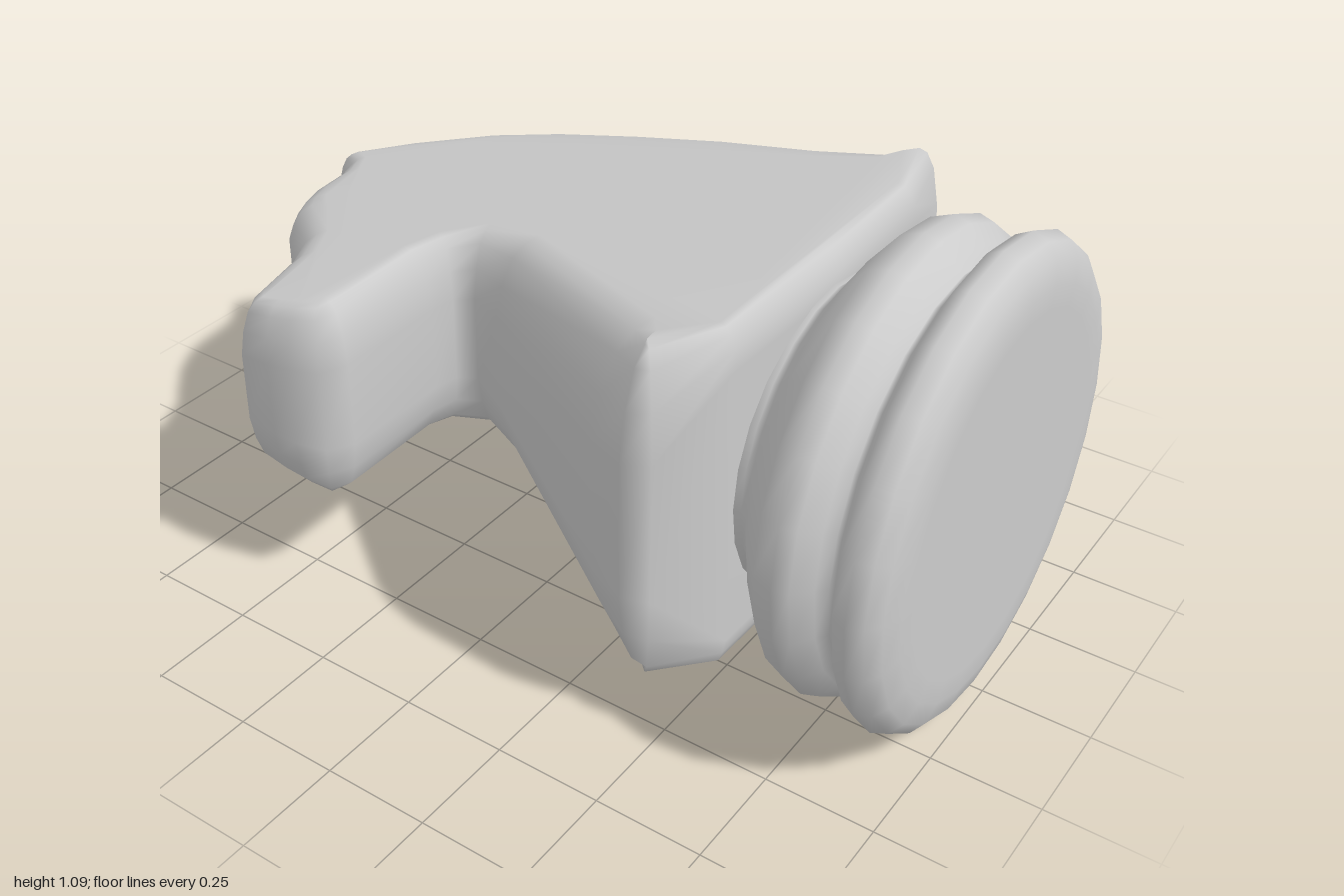
import * as THREE from 'three';

const MID = 0.545; // height of the plane of symmetry

// Side outline of the head: x, z, width of the rounded rim
const OUTLINE = [
  [-0.62, -0.54, 0.06], [-0.625, -0.46, 0.06], [-0.62, -0.4, 0.06], [-0.6, -0.33, 0.06], [-0.54, -0.3, 0.07],
  [-0.26, -0.3, 0.08], [-0.2, -0.29, 0.07], [-0.17, -0.25, 0.08], [-0.22, -0.15, 0.11],
  [-0.53, 0.33, 0.14], [-0.575, 0.43, 0.12], [-0.55, 0.49, 0.08], [-0.39, 0.575, 0.05],
  [0, 0.585, 0.05], [0.34, 0.58, 0.05], [0.55, 0.54, 0.06], [0.59, 0.5, 0.1], [0.6, 0.43, 0.15],
  [0.61, 0.25, 0.18], [0.62, -0.02, 0.18], [0.6, -0.27, 0.17], [0.56, -0.5, 0.15], [0.49, -0.69, 0.12],
  [0.37, -0.88, 0.09], [0.25, -1, 0.06], [0.2, -1, 0.05], [0.165, -0.955, 0.06], [0.11, -0.94, 0.08],
  [0, -0.93, 0.09], [-0.08, -0.9, 0.09], [-0.14, -0.86, 0.09], [-0.28, -0.71, 0.09], [-0.37, -0.66, 0.09],
  [-0.55, -0.6, 0.08],
];

// Rounded rim steps: share of the inset, share of the rise
const RIM = [[0, 0], [0.15, 0.45], [0.4, 0.8], [0.7, 0.95], [1, 1]];

// Half thickness tapers from the neck towards the ears
const halfThickness = (z) => 0.318 + 0.2045 * Math.min(z, 0.5);

function headGeometry() {
  const n = OUTLINE.length;
  const positions = [];
  const index = [];

  const addRing = ([inset, rise], side) => {
    const ring = [];
    OUTLINE.forEach(([x, z, rim], i) => {
      const a = OUTLINE[(i + n - 1) % n];
      const b = OUTLINE[(i + 1) % n];
      // inward direction is the average of the two neighbouring edges' normals
      const e1 = new THREE.Vector2(x - a[0], a[1] - z).normalize();
      const e2 = new THREE.Vector2(b[0] - x, z - b[1]).normalize();
      const t = e1.add(e2).normalize();
      const px = x - t.y * rim * inset;
      const pz = z - t.x * rim * inset;
      const edge = z > 0.56 ? 0.8 : 0.4;
      const h = halfThickness(pz) * (edge + (1 - edge) * rise);
      positions.push(px, MID + side * h, pz);
      ring.push(new THREE.Vector2(px, -pz));
    });
    return ring;
  };

  // Rings from the lower face, around the rim, to the upper face
  let cap;
  for (let k = RIM.length - 1; k >= 0; k--) addRing(RIM[k], -1);
  for (const step of RIM) cap = addRing(step, 1);

  const rings = RIM.length * 2;
  for (let k = 0; k < rings - 1; k++) {
    for (let i = 0; i < n; i++) {
      const a = k * n + i;
      const b = k * n + ((i + 1) % n);
      index.push(a, b, b + n, a, b + n, a + n);
    }
  }

  // Flat cheeks
  const top = (rings - 1) * n;
  for (const [a, b, c] of THREE.ShapeUtils.triangulateShape(cap, [])) {
    index.push(top + a, top + b, top + c, a, c, b);
  }

  const geometry = new THREE.BufferGeometry();
  geometry.setAttribute('position', new THREE.Float32BufferAttribute(positions, 3));
  geometry.setIndex(index);
  geometry.computeVertexNormals();
  return geometry;
}

function baseGeometry() {
  // radius, z
  const profile = [
    [0.3, 0.5], [0.36, 0.565], [0.35, 0.59], [0.365, 0.61], [0.43, 0.65], [0.51, 0.715], [0.53, 0.765],
    [0.52, 0.8], [0.485, 0.835], [0.465, 0.855], [0.475, 0.87], [0.525, 0.895], [0.543, 0.93],
    [0.53, 0.965], [0.5, 0.988], [0.45, 1], [0.4, 1], [0, 1],
  ].map(([r, z]) => new THREE.Vector2(r, z));
  return new THREE.LatheGeometry(profile, 24).rotateX(Math.PI / 2);
}

export function createModel() {
  const group = new THREE.Group();
  group.name = 'chessKnight';
  const material = new THREE.MeshStandardMaterial({ color: 0xcccccc });

  const head = new THREE.Mesh(headGeometry(), material);
  head.name = 'horseHead';

  const base = new THREE.Mesh(baseGeometry(), material);
  base.name = 'turnedBase';
  base.position.set(-0.027, MID, 0);

  group.add(head, base);
  return group;
}
